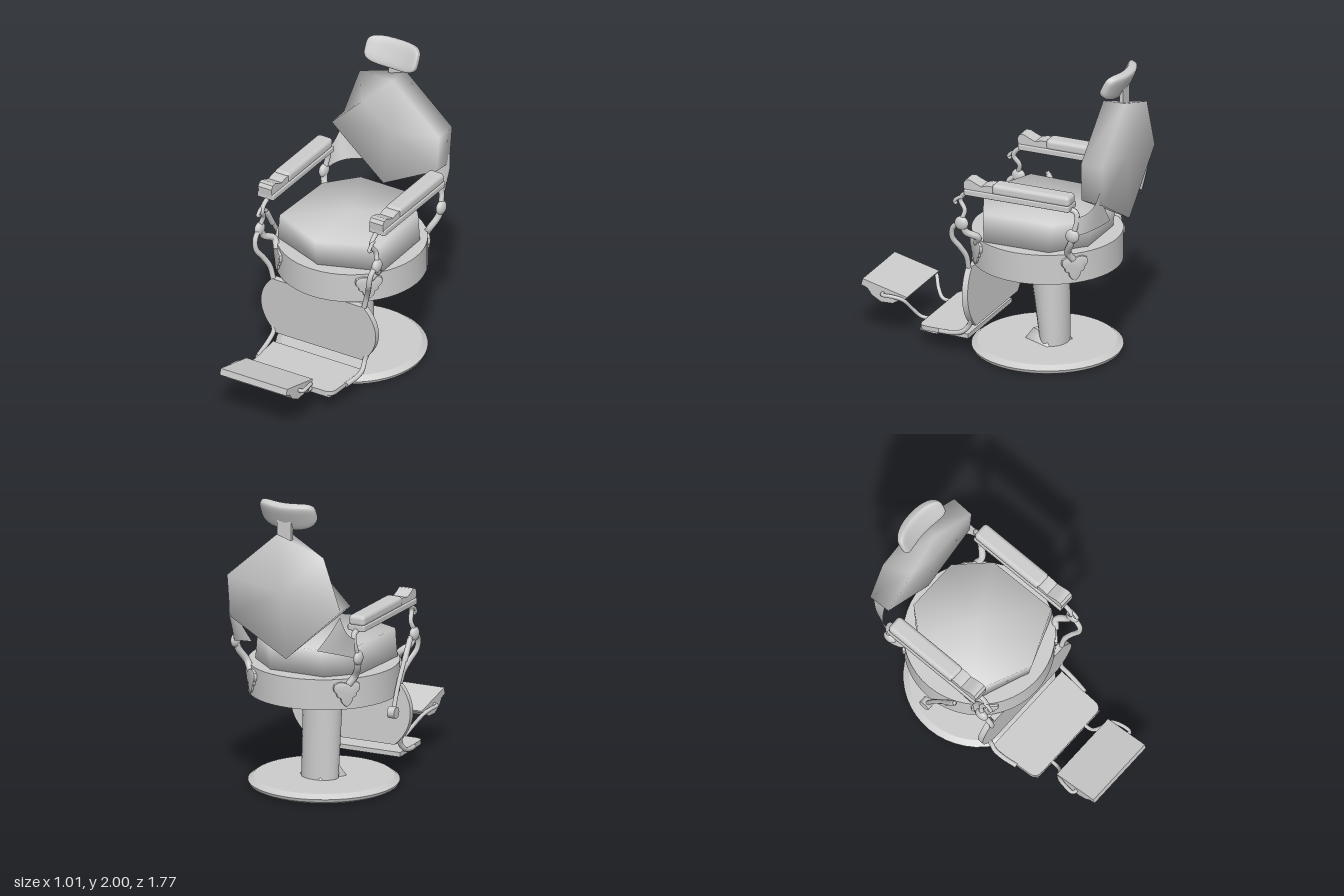
import * as THREE from 'three';
import { toCreasedNormals } from 'three/addons/utils/BufferGeometryUtils.js';
import { RoundedBoxGeometry } from 'three/addons/geometries/RoundedBoxGeometry.js';

const V = (p) => new THREE.Vector3(...p);

// Closed prism between two matching loops, with smooth shared normals
function slab(a, b) {
  const n = a.length, pos = [], idx = [];
  const mid = (l) => l.reduce((s, p) => s.add(V(p)), new THREE.Vector3()).divideScalar(n).toArray();
  [...a, ...b, mid(a), mid(b)].forEach((p) => pos.push(...p));
  for (let i = 0; i < n; i++) {
    const j = (i + 1) % n;
    idx.push(2 * n, i, j, 2 * n + 1, n + j, n + i, i, n + i, n + j, i, n + j, j);
  }
  const g = new THREE.BufferGeometry();
  g.setAttribute('position', new THREE.Float32BufferAttribute(pos, 3));
  g.setIndex(idx);
  g.computeVertexNormals();
  return g;
}

// Side outline given as [z, y], extruded across x
function sideExtrude(points, width) {
  const shape = new THREE.Shape(points.map(([z, y]) => new THREE.Vector2(-z, y)));
  const g = new THREE.ExtrudeGeometry(shape, { depth: width, bevelEnabled: false });
  g.translate(0, 0, -width / 2);
  g.rotateY(Math.PI / 2);
  return toCreasedNormals(g, 0.6);
}

function tube(points, r, segments = 28) {
  return new THREE.TubeGeometry(new THREE.CatmullRomCurve3(points.map(V)), segments, r, 8);
}

function lathe(points) {
  const g = new THREE.LatheGeometry(points.map(([r, y]) => new THREE.Vector2(r, y)), 48);
  return toCreasedNormals(g, 0.5);
}

export function createModel() {
  const grey = new THREE.MeshStandardMaterial({ color: 0xcccccc, side: THREE.DoubleSide });
  grey.name = 'light grey';
  const model = new THREE.Group();
  const body = new THREE.Group();
  body.name = 'chair';
  body.position.x = 0.018;
  model.add(body);
  const add = (name, geo, x = 0, y = 0, z = 0) => {
    const m = new THREE.Mesh(geo, grey);
    m.name = name;
    m.position.set(x, y, z);
    body.add(m);
    return m;
  };

  // Pedestal
  add('base', lathe([[0, 0], [0.45, 0], [0.475, 0.015], [0.483, 0.035], [0.445, 0.062], [0, 0.066]]), 0, 0, -0.3);
  const column = new THREE.CylinderGeometry(0.125, 0.125, 0.58, 32, 1);
  const cp = column.attributes.position;
  for (let i = 0; i < cp.count; i++) { // front of the column leans back toward the foot
    const t = cp.getY(i) < 0 ? 0.72 : 1.08;
    cp.setZ(i, -0.125 + (cp.getZ(i) + 0.125) * t);
  }
  column.computeVertexNormals();
  add('column', toCreasedNormals(column, 0.6), 0, 0.35, -0.32);
  const foot = add('columnFoot', new THREE.CylinderGeometry(0.1, 0.15, 0.07, 4).toNonIndexed(), 0, 0.1, -0.31);
  foot.rotation.y = 0.35;

  // Seat
  add('seatRing', lathe([[0, 0.625], [0.482, 0.625], [0.482, 0.825], [0, 0.825]]), 0, 0, -0.3);
  const seat = [[0.375, -0.02], [0.37, -0.5], [0.18, -0.695], [-0.18, -0.695], [-0.345, -0.5], [-0.365, -0.02], [0, 0.14]];
  add('seatCushion', slab(
    seat.map(([x, z]) => [x, 1.005, z]),
    seat.map(([x, z]) => [x * 1.07, 0.8, -0.28 + (z + 0.28) * 0.93])));

  // Irregular faceted backrest
  const back = [[0.4, 1.47], [0.05, 1.78], [-0.29, 1.67], [-0.41, 1.33], [-0.02, 0.97], [0.38, 1.2]];
  const front = [[0.395, 1.465], [0.05, 1.775], [-0.18, 1.55], [-0.405, 1.33], [-0.02, 1.0], [0.38, 1.215]];
  add('backrest', slab(front.map(([x, y]) => [x, y, -0.71]), back.map(([x, y]) => [x, y, -0.86])));

  // Headrest: a squared-off ellipsoid, its ends curving forward
  const head = new THREE.SphereGeometry(1, 40, 24);
  const hp = head.attributes.position;
  const swell = (v, e) => Math.sign(v) * Math.abs(v) ** e;
  for (let i = 0; i < hp.count; i++) {
    const x = 0.194 * swell(hp.getX(i), 0.55);
    hp.setXYZ(i, x, 0.096 * swell(hp.getY(i), 0.55), 0.036 * swell(hp.getZ(i), 0.45) + 1.3 * x * x - 0.015);
  }
  head.computeVertexNormals();
  add('headrest', head, 0, 1.907, -0.812).rotation.x = -0.45;
  add('headrestStem', new THREE.BoxGeometry(0.1, 0.16, 0.025), 0, 1.83, -0.835);

  // Leaf ornament outline
  const leaf = new THREE.Shape();
  leaf.moveTo(0, -0.09);
  leaf.quadraticCurveTo(0.04, -0.07, 0.04, -0.03);
  leaf.quadraticCurveTo(0.075, -0.03, 0.07, 0);
  leaf.quadraticCurveTo(0.105, 0.02, 0.09, 0.055);
  leaf.quadraticCurveTo(0.05, 0.08, 0, 0.055);
  leaf.quadraticCurveTo(-0.05, 0.08, -0.09, 0.055);
  leaf.quadraticCurveTo(-0.105, 0.02, -0.07, 0);
  leaf.quadraticCurveTo(-0.075, -0.03, -0.04, -0.03);
  leaf.quadraticCurveTo(-0.04, -0.07, 0, -0.09);
  const leafGeo = toCreasedNormals(new THREE.ExtrudeGeometry(leaf, {
    depth: 0.01, bevelThickness: 0.012, bevelSize: 0.008, bevelSegments: 2, curveSegments: 5 }), 0.7);
  leafGeo.scale(0.86, 0.95, 1);

  for (const s of [-1, 1]) {
    const side = s < 0 ? 'right' : 'left';
    const x = 0.415 * s;
    // Armrests
    add(side + 'ArmPlate', new RoundedBoxGeometry(0.122, 0.04, 0.73, 2, 0.008), x, 1.174, -0.295);
    add(side + 'ArmPad', new RoundedBoxGeometry(0.114, 0.072, 0.54, 4, 0.026), x, 1.22, -0.39);
    add(side + 'ArmScroll', sideExtrude([[0.07, 1.185], [0.075, 1.235], [0.06, 1.258], [0.03, 1.262], [-0.01, 1.243],
      [-0.05, 1.228], [-0.09, 1.24], [-0.13, 1.24], [-0.13, 1.185]], 0.1), x, 0, 0);

    // Front arm support
    add(side + 'FrontArmSupport', tube([[x * 0.98, 1.16, 0.04], [x * 0.98, 1.13, 0.1], [x * 0.98, 1.09, 0.12],
      [x * 1.01, 1.03, 0.085], [x * 1.05, 0.97, 0.1]], 0.016));
    add(side + 'FrontScroll', tube([[x, 1.12, 0.1], [x, 1.1, 0.14], [x, 1.075, 0.16], [x, 1.065, 0.14]], 0.012, 12));
    // Rear arm support
    add(side + 'RearArmSupport', tube([[x, 1.16, -0.63], [x, 1.14, -0.685], [x * 1.02, 1.08, -0.695],
      [x * 1.05, 0.99, -0.67]], 0.018));
    // Hinge discs, stems and leaves
    for (const [label, y, z, topZ, lz] of [['Front', 0.945, 0.1, 0.01, 0.035], ['Rear', 0.985, -0.67, -0.615, -0.635]]) {
      const hinge = add(side + label + 'Hinge', new THREE.SphereGeometry(0.047, 20, 14), s * 0.437, y, z);
      hinge.scale.x = 0.6;
      add(side + label + 'Stem', tube([[s * 0.435, y, z], [s * 0.425, y - 0.06, z + (topZ - z) * 0.3],
        [s * 0.385, 0.845, topZ], [s * 0.35, 0.79, lz]], 0.023));
      const l = add(side + label + 'Leaf', leafGeo, s * 0.333, 0.735, lz);
      l.rotation.y = label === 'Front' ? s * Math.PI / 4 : s * Math.PI * 0.75;
    }

    // Curved wing joining arm and backrest
    const upper = new THREE.QuadraticBezierCurve3(V([s * 0.435, 1.11, -0.69]), V([s * 0.425, 1.15, -0.82]), V([s * 0.395, 1.29, -0.838]));
    const lower = new THREE.QuadraticBezierCurve3(V([s * 0.435, 0.98, -0.68]), V([s * 0.41, 1.03, -0.81]), V([s * 0.23, 1.045, -0.84]));
    const wing = new THREE.PlaneGeometry(1, 1, 10, 6);
    const wp = wing.attributes.position;
    for (let i = 0; i < wp.count; i++) {
      const u = wp.getX(i) + 0.5, v = wp.getY(i) + 0.5;
      const p = lower.getPoint(u).lerp(upper.getPoint(u), v);
      wp.setXYZ(i, p.x + s * 0.03 * u * u * v * (1 - v), p.y, p.z);
    }
    wing.computeVertexNormals();
    add(side + 'Wing', wing);

    // Leg frame sweeping down beside the calf panel
    add(side + 'LegFrame', tube([[s * 0.435, 0.95, 0.11], [s * 0.43, 0.9, 0.165], [s * 0.42, 0.83, 0.17],
      [s * 0.39, 0.76, 0.13], [s * 0.36, 0.69, 0.1], [s * 0.34, 0.61, 0.095]], 0.018));
    // Looped rod rising from the footboard to the calf panel
    add(side + 'FootboardRod', tube([[s * 0.315, 0.25, 0.075], [s * 0.3, 0.275, 0.075], [s * 0.325, 0.297, 0.075],
      [s * 0.35, 0.27, 0.075], [s * 0.34, 0.215, 0.09], [s * 0.348, 0.165, 0.135], [s * 0.345, 0.145, 0.2], [s * 0.33, 0.135, 0.3]], 0.016, 48));
    // Bracket carrying the footrest
    add(side + 'FootrestBracket', tube([[s * 0.16, 0.135, 0.41], [s * 0.165, 0.14, 0.5], [s * 0.195, 0.19, 0.545],
      [s * 0.25, 0.265, 0.59], [s * 0.27, 0.285, 0.65], [s * 0.272, 0.288, 0.725], [s * 0.235, 0.288, 0.73]], 0.013, 40));
  }

  // Calf panel with bulging sides
  const calf = new THREE.Shape();
  calf.moveTo(-0.34, 0.615);
  calf.bezierCurveTo(-0.46, 0.5, -0.46, 0.33, -0.32, 0.21);
  calf.lineTo(0.32, 0.21);
  calf.bezierCurveTo(0.46, 0.33, 0.46, 0.5, 0.34, 0.615);
  const calfGeo = new THREE.ExtrudeGeometry(calf, { depth: 0.04, bevelEnabled: false, curveSegments: 20 });
  const calfMesh = add('calfPanel', toCreasedNormals(calfGeo, 0.6), 0, 0, 0.038);
  calfMesh.rotation.x = 0.055;

  // Footboard with a rounded front, and its lip
  const board = new THREE.Shape();
  board.moveTo(-0.335, -0.1);
  board.lineTo(0.335, -0.1);
  board.lineTo(0.32, -0.4);
  board.quadraticCurveTo(0.315, -0.452, 0.26, -0.452);
  board.lineTo(-0.26, -0.452);
  board.quadraticCurveTo(-0.315, -0.452, -0.32, -0.4);
  const boardGeo = new THREE.ExtrudeGeometry(board, { depth: 0.03, bevelEnabled: false });
  boardGeo.rotateX(-Math.PI / 2);
  add('footboard', toCreasedNormals(boardGeo, 0.6), 0, 0.117, 0);
  add('footboardLip', sideExtrude([[0.45, 0.12], [0.33, 0.12], [0.33, 0.097], [0.36, 0.097], [0.45, 0.107]], 0.6));

  // Footrest
  add('footrest', sideExtrude([[0.873, 0.365], [0.565, 0.287], [0.57, 0.275], [0.6, 0.268], [0.665, 0.23], [0.745, 0.228],
    [0.81, 0.265], [0.84, 0.307], [0.883, 0.322]], 0.495));

  // Hand lever on the right side
  add('lever', tube([[-0.498, 0.54, -0.31], [-0.498, 0.7, -0.24], [-0.498, 0.85, -0.15], [-0.498, 0.98, -0.07]], 0.015));
  const grip = add('leverGrip', new THREE.CapsuleGeometry(0.019, 0.13, 4, 10), -0.498, 0.9, -0.115);
  grip.rotation.x = 0.53;
  const hub = add('leverHub', new THREE.CylinderGeometry(0.038, 0.038, 0.05, 20), -0.498, 0.54, -0.31);
  hub.rotation.z = Math.PI / 2;

  return model;
}
